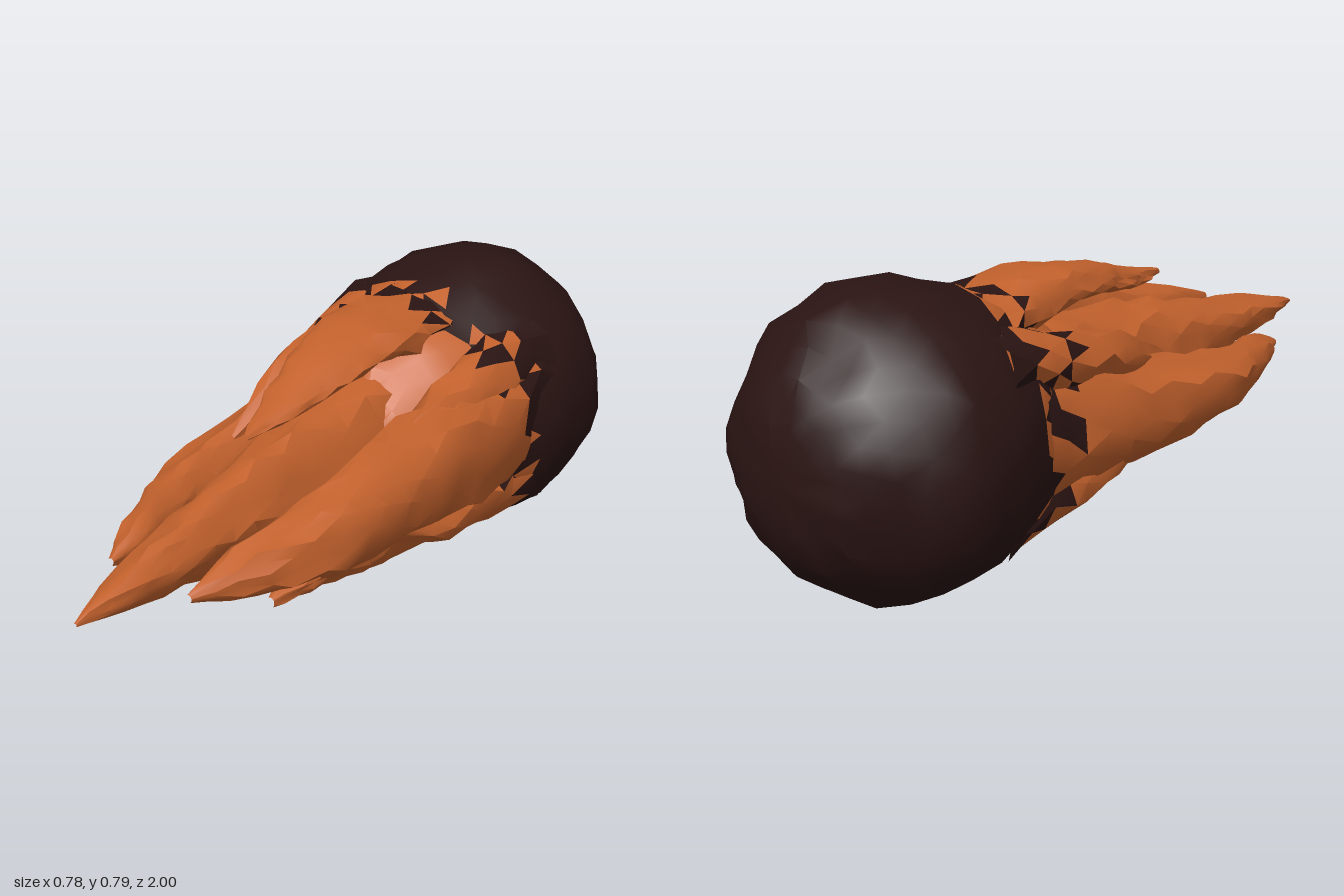
import * as THREE from 'three';
import { toCreasedNormals } from 'three/addons/utils/BufferGeometryUtils.js';

const CY = 0.405;
const rockMat = new THREE.MeshStandardMaterial({ color: 0x2a1413 });
const flameMat = new THREE.MeshStandardMaterial({ color: 0xc4622d });

function seeded(seed) {
  let s = seed * 7919 + 17;
  return () => {
    s = (s * 16807) % 2147483647;
    return s / 2147483647;
  };
}

// Smoothly loft elliptical sections [x, y, z, rx, ry] along z, with ridges and jitter
function loft(sections, rings, sides, ridge, rough, seed) {
  const rnd = seeded(seed);
  for (let i = 0; i < 5; i++) rnd();
  const mid = new THREE.CatmullRomCurve3(sections.map(s => new THREE.Vector3(s[0], s[1], s[2])));
  const rad = new THREE.CatmullRomCurve3(sections.map(s => new THREE.Vector3(s[3], s[4], 0)));
  const phase = rnd() * 6.28;
  const pos = [], index = [];
  for (let i = 0; i <= rings; i++) {
    const t = i / rings;
    const c = mid.getPoint(t), r = rad.getPoint(t);
    const end = i === 0 || i === rings;
    const step = Math.abs(mid.getPoint(Math.min(1, t + 1 / rings)).z - c.z);
    for (let j = 0; j < sides; j++) {
      const a = ((j + (i % 2) * 0.5) / sides) * Math.PI * 2;
      const wave = Math.sin(3 * a + phase + 2 * t) + 0.7 * Math.sin(5 * a - phase - 3 * t);
      const k = 1 + ridge * wave + rough * (rnd() - 0.5) * 2;
      const dz = end ? 0 : (rnd() - 0.5) * step * 0.5;
      pos.push(
        c.x + Math.max(0, r.x) * k * Math.cos(a),
        c.y + Math.max(0, r.y) * k * Math.sin(a),
        c.z + dz
      );
      if (i < rings) {
        const n = (j + 1) % sides;
        const p = i * sides + j, q = i * sides + n;
        const u = p + sides, v = q + sides;
        // Ring offsets alternate, so the quad diagonal does too
        if (i % 2) index.push(p, q, v, p, v, u);
        else index.push(p, q, u, q, v, u);
      }
    }
  }
  const g = new THREE.BufferGeometry();
  g.setAttribute('position', new THREE.Float32BufferAttribute(pos, 3));
  g.setIndex(index);
  return toCreasedNormals(g, 0.6);
}

// Split a geometry's triangles in two by a test on each triangle's centre
function splitFaces(g, test) {
  const p = g.attributes.position, n = g.attributes.normal;
  const out = [{ p: [], n: [] }, { p: [], n: [] }];
  for (let i = 0; i < p.count; i += 3) {
    const z = (p.getZ(i) + p.getZ(i + 1) + p.getZ(i + 2)) / 3;
    const o = out[test(z) ? 1 : 0];
    for (let k = i; k < i + 3; k++) {
      o.p.push(p.getX(k), p.getY(k), p.getZ(k));
      o.n.push(n.getX(k), n.getY(k), n.getZ(k));
    }
  }
  return out.map(o => {
    const h = new THREE.BufferGeometry();
    h.setAttribute('position', new THREE.Float32BufferAttribute(o.p, 3));
    h.setAttribute('normal', new THREE.Float32BufferAttribute(o.n, 3));
    return h;
  });
}

export function createModel() {
  const group = new THREE.Group();

  function addSplit(name, geometry, border, seed) {
    const rnd = seeded(seed);
    const [dark, bright] = splitFaces(geometry, z => z + (rnd() - 0.5) * 0.26 > border);
    [[dark, rockMat, 'Rock'], [bright, flameMat, 'Flame']].forEach(([g, mat, part]) => {
      if (!g.attributes.position.count) return;
      const m = new THREE.Mesh(g, mat);
      m.name = name + part;
      group.add(m);
    });
  }

  // Round rock at the back, closing to a blunt core between the flames
  const profile = [
    [-1, 0], [-0.985, 0.13], [-0.93, 0.235], [-0.83, 0.335], [-0.7, 0.392], [-0.58, 0.39],
    [-0.46, 0.36], [-0.34, 0.315], [-0.22, 0.26], [-0.1, 0.18], [0.02, 0]
  ];
  addSplit('body', loft(profile.map(([z, r]) => [0, CY, z, r, r]), 20, 26, 0.006, 0.025, 3), -0.39, 11);

  // Flame tongues: one long centre tongue, four around it and smaller fillers
  const tongues = {
    centreTongue: [
      [-0.02, 0.42, -0.35, 0.2, 0.2], [-0.03, 0.42, -0.05, 0.16, 0.18], [-0.04, 0.42, 0.2, 0.125, 0.15],
      [-0.05, 0.43, 0.42, 0.09, 0.11], [-0.05, 0.43, 0.65, 0.07, 0.075],
      [-0.05, 0.43, 0.85, 0.045, 0.04], [-0.05, 0.425, 1, 0.004, 0.004]
    ],
    leftTongue: [
      [0.22, 0.43, -0.55, 0.13, 0.22], [0.235, 0.44, -0.3, 0.115, 0.2], [0.24, 0.45, -0.05, 0.105, 0.17],
      [0.24, 0.45, 0.2, 0.09, 0.14], [0.22, 0.45, 0.42, 0.085, 0.1],
      [0.16, 0.45, 0.63, 0.065, 0.065], [0.12, 0.45, 0.8, 0.008, 0.01]
    ],
    rightTongue: [
      [-0.22, 0.42, -0.55, 0.13, 0.2], [-0.23, 0.41, -0.3, 0.115, 0.18], [-0.26, 0.39, -0.05, 0.095, 0.14],
      [-0.285, 0.385, 0.2, 0.085, 0.1], [-0.27, 0.38, 0.4, 0.065, 0.08],
      [-0.22, 0.39, 0.58, 0.05, 0.055], [-0.2, 0.39, 0.7, 0.008, 0.01]
    ],
    topTongue: [
      [-0.02, 0.64, -0.58, 0.2, 0.12], [-0.04, 0.66, -0.38, 0.16, 0.09], [-0.05, 0.705, -0.16, 0.13, 0.055],
      [-0.05, 0.69, 0.02, 0.1, 0.045], [-0.04, 0.655, 0.2, 0.065, 0.027], [-0.03, 0.635, 0.37, 0.008, 0.008]
    ],
    bottomTongue: [
      [0.02, 0.17, -0.58, 0.2, 0.12], [0.03, 0.18, -0.35, 0.17, 0.1], [0.04, 0.19, -0.1, 0.14, 0.085],
      [0.06, 0.215, 0.1, 0.11, 0.06], [0.07, 0.235, 0.28, 0.07, 0.04], [0.08, 0.23, 0.43, 0.01, 0.015]
    ],
    upperLeftFiller: [
      [0.22, 0.59, -0.55, 0.11, 0.11], [0.23, 0.58, -0.32, 0.085, 0.085],
      [0.23, 0.56, -0.1, 0.065, 0.065], [0.22, 0.54, 0.15, 0.006, 0.006]
    ],
    upperRightFiller: [
      [-0.22, 0.6, -0.55, 0.11, 0.11], [-0.23, 0.57, -0.32, 0.09, 0.09],
      [-0.24, 0.54, -0.1, 0.065, 0.07], [-0.24, 0.48, 0.15, 0.006, 0.006]
    ],
    lowerRightFiller: [
      [-0.2, 0.22, -0.55, 0.12, 0.11], [-0.2, 0.25, -0.32, 0.1, 0.09],
      [-0.21, 0.28, -0.1, 0.08, 0.07], [-0.24, 0.33, 0.15, 0.006, 0.006]
    ],
    lowerLeftFiller: [
      [0.21, 0.22, -0.55, 0.12, 0.11], [0.21, 0.24, -0.32, 0.1, 0.09],
      [0.22, 0.27, -0.1, 0.08, 0.07], [0.22, 0.34, 0.15, 0.006, 0.006]
    ]
  };
  Object.entries(tongues).forEach(([name, sections], i) => {
    const long = sections.length > 4;
    addSplit(name, loft(sections, long ? 18 : 9, long ? 14 : 10, 0.06, 0.1, 20 + i * 7), -0.39, 50 + i);
  });

  return group;
}
